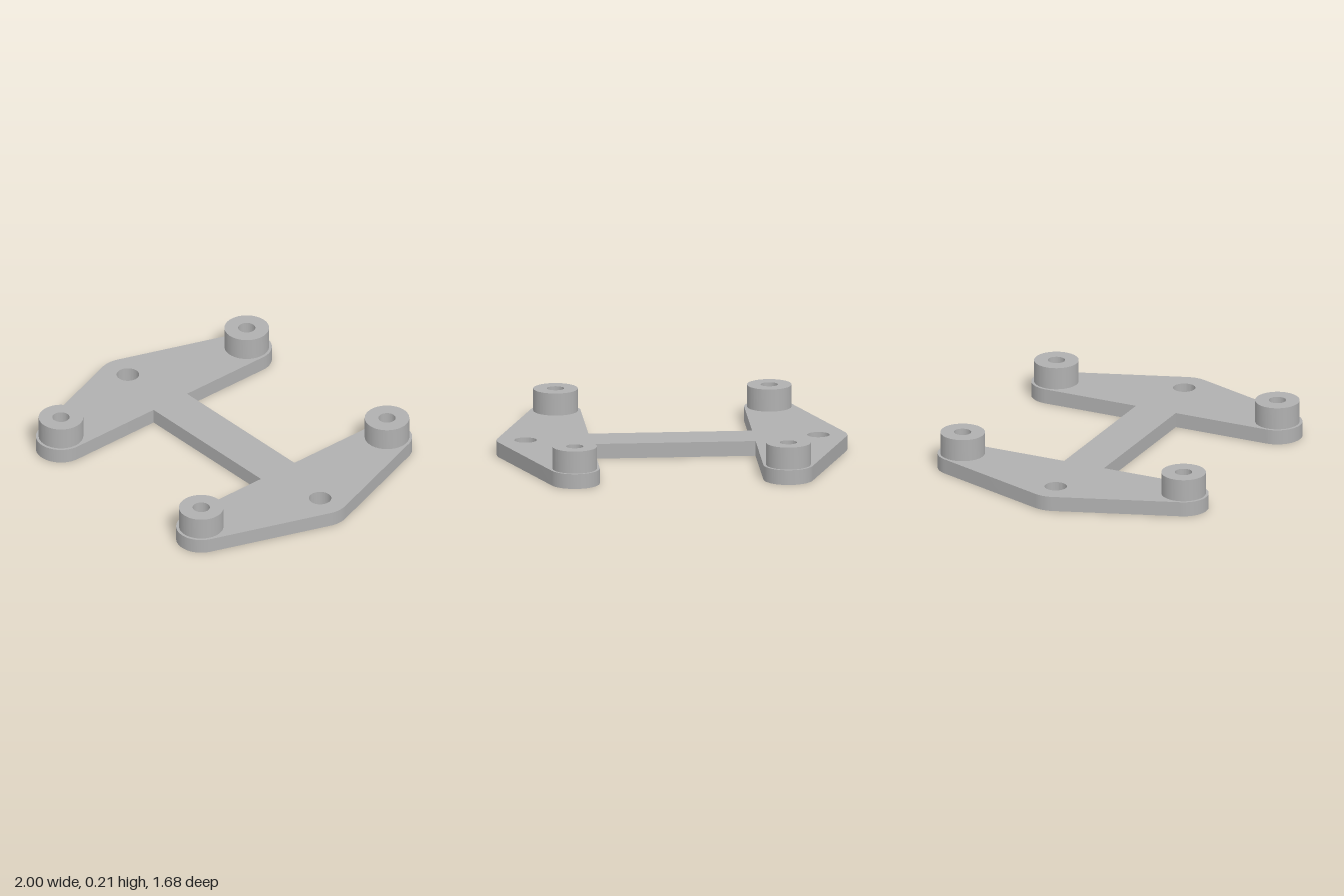
import * as THREE from 'three';
import { toCreasedNormals } from 'three/addons/utils/BufferGeometryUtils.js';

const PLATE = 0.086, TOP = 0.215;                 // plate thickness, boss top
const END = { x: 0.61, z: 0.699, r: 0.143 };      // rounded plate ends under the bosses
const TIP = { x: 0.836, r: 0.164, hole: 0.064 };  // rounded outer tips
const BOSS_R = 0.127, BORE_R = 0.049;
const BAR = 0.126;                                // half width of the crossbar

// Extrude a ground-plane outline upwards from y0 to y1
function slab(shape, y0, y1) {
  const geo = new THREE.ExtrudeGeometry(shape, { depth: y1 - y0, bevelEnabled: false, curveSegments: 48 });
  geo.rotateX(-Math.PI / 2).translate(0, y0, 0);
  return toCreasedNormals(geo, Math.PI / 6);
}

function circle(x, z, r) {
  return new THREE.Path().absarc(x, z, r, 0, Math.PI * 2, true);
}

export function createModel() {
  const group = new THREE.Group();
  const grey = new THREE.MeshStandardMaterial({ color: 0xb0b0b0 });
  grey.name = 'grey';

  // Angle at which the outer edge is tangent to both the end and the tip arcs
  const dx = TIP.x - END.x;
  const a = Math.acos((END.r - TIP.r) / Math.hypot(dx, END.z)) - Math.atan2(END.z, dx);
  const inner = END.x - END.r;
  const PI = Math.PI;

  // H-shaped plate outline, counter-clockwise
  const outline = new THREE.Shape();
  outline.moveTo(-inner, -BAR);
  outline.lineTo(inner, -BAR);
  outline.lineTo(inner, -END.z);
  outline.absarc(END.x, -END.z, END.r, PI, 2 * PI - a, false);
  outline.absarc(TIP.x, 0, TIP.r, -a, a, false);
  outline.absarc(END.x, END.z, END.r, a, PI, false);
  outline.lineTo(inner, BAR);
  outline.lineTo(-inner, BAR);
  outline.lineTo(-inner, END.z);
  outline.absarc(-END.x, END.z, END.r, 0, PI - a, false);
  outline.absarc(-TIP.x, 0, TIP.r, PI - a, PI + a, false);
  outline.absarc(-END.x, -END.z, END.r, PI + a, 2 * PI, false);
  outline.closePath();

  for (const sx of [-1, 1]) {
    outline.holes.push(circle(sx * TIP.x, 0, TIP.hole));
    for (const sz of [-1, 1]) {
      outline.holes.push(circle(sx * END.x, sz * END.z, BORE_R));

      // Bored standoff at each corner
      const ring = new THREE.Shape().absarc(sx * END.x, sz * END.z, BOSS_R, 0, PI * 2, false);
      ring.holes.push(circle(sx * END.x, sz * END.z, BORE_R));
      const boss = new THREE.Mesh(slab(ring, PLATE, TOP), grey);
      boss.name = (sz < 0 ? 'front' : 'back') + (sx > 0 ? 'Left' : 'Right') + 'Standoff';
      group.add(boss);
    }
  }

  const plate = new THREE.Mesh(slab(outline, 0, PLATE), grey);
  plate.name = 'basePlate';
  group.add(plate);
  return group;
}
